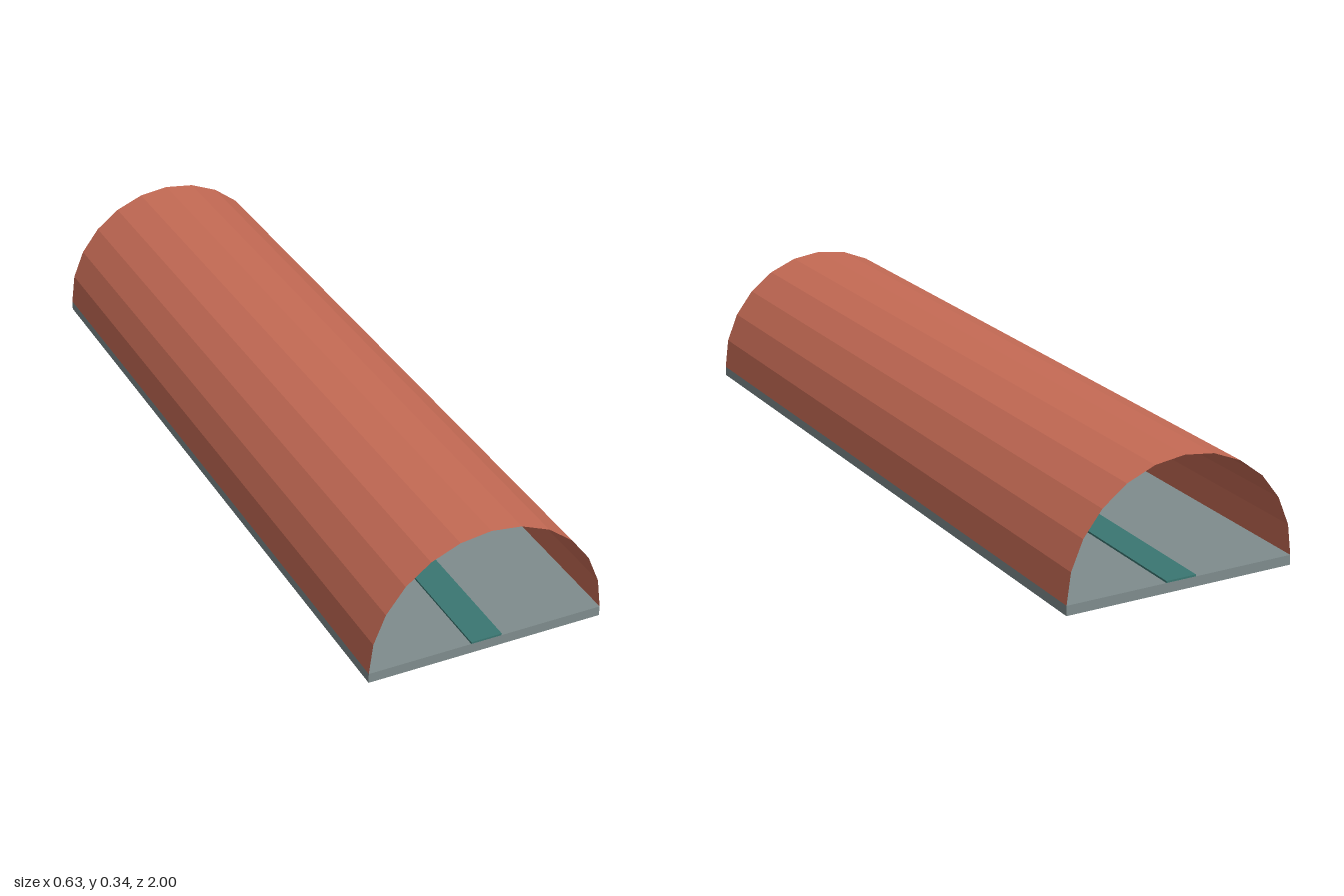
import * as THREE from 'three';

export function createModel() {
  const model = new THREE.Group();
  model.name = 'archedShelter';
  const material = (name, color) => {
    const m = new THREE.MeshStandardMaterial({ color });
    m.name = name;
    return m;
  };
  const grey = material('floorGrey', 0x7f8c8d);
  const teal = material('walkwayTeal', 0x3a7772);
  const red = material('roofTerracotta', 0xc66b55);
  red.side = THREE.DoubleSide;
  red.flatShading = true;

  const radius = 0.315, floorTop = 0.026, length = 2;
  const add = (name, geometry, mat, y) => {
    const mesh = new THREE.Mesh(geometry, mat);
    mesh.name = name;
    mesh.position.y = y;
    model.add(mesh);
  };

  // Floor slab
  add('floor', new THREE.BoxGeometry(radius * 2, floorTop, length), grey, floorTop / 2);

  // Raised strip along the middle of the floor
  add('walkway', new THREE.BoxGeometry(0.083, 0.005, length), teal, floorTop + 0.0025);

  // Open-ended half-round roof shell in twelve flat facets
  const roof = new THREE.CylinderGeometry(radius, radius, length, 12, 1, true, -Math.PI / 2, Math.PI);
  roof.rotateX(-Math.PI / 2);
  roof.computeBoundingBox();
  if (roof.boundingBox.max.y < 0.1) roof.rotateZ(Math.PI); // keep the arch upward
  add('roof', roof, red, floorTop);

  return model;
}
